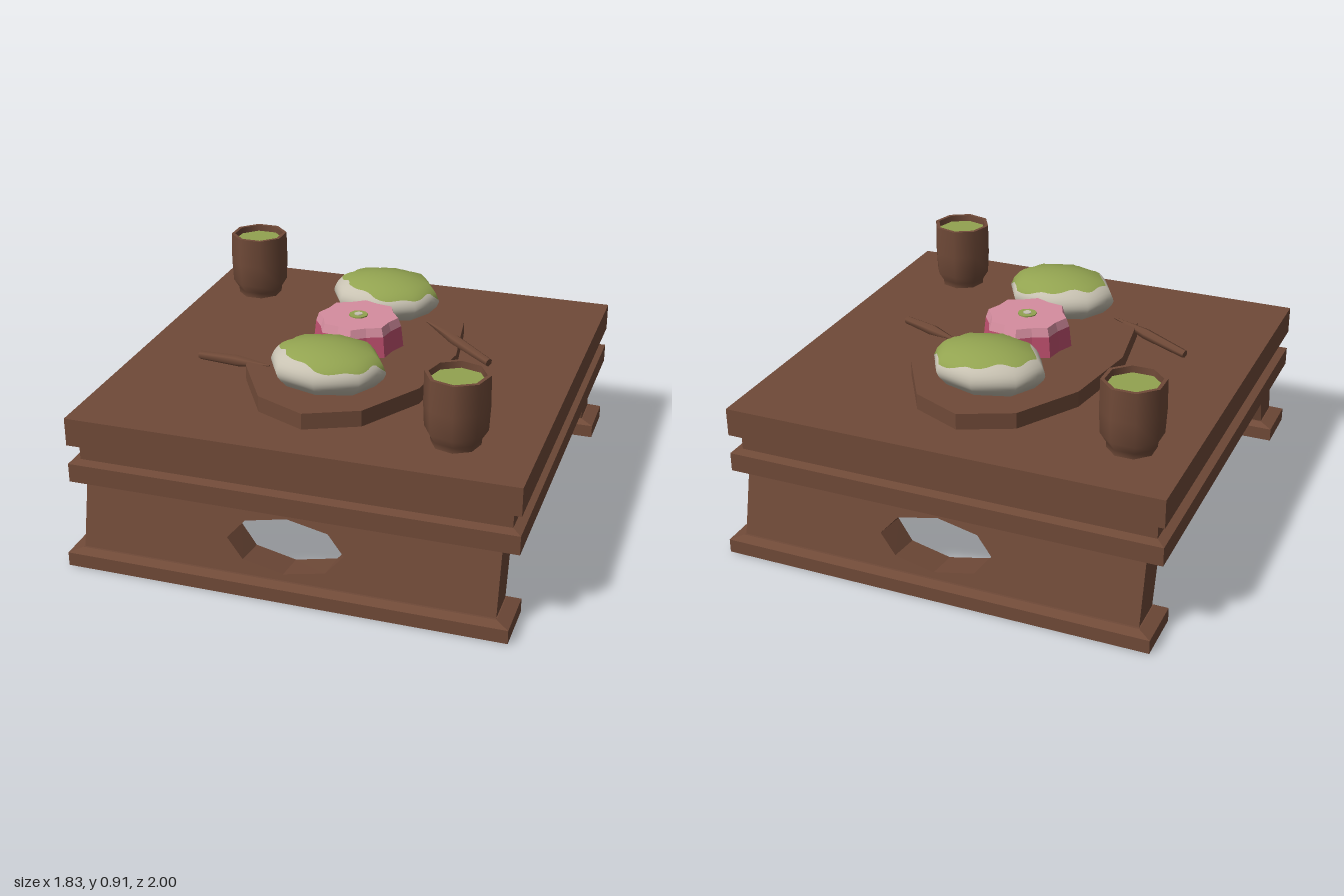
import * as THREE from 'three';

const paint = (name, color) => {
  const m = new THREE.MeshStandardMaterial({ color });
  m.name = name;
  return m;
};

export function createModel() {
  const wood = paint('brown wood', 0x704a38);
  const green = paint('matcha green', 0x92a350);
  const cream = paint('cream dough', 0xc8c2b2);
  const pink = paint('light pink', 0xd58d9f);
  const rose = paint('deep rose', 0xc0506f);
  const model = new THREE.Group();
  model.name = 'teaTable';

  const add = (name, geometry, material, parent = model) => {
    const mesh = new THREE.Mesh(geometry, material);
    mesh.name = name;
    parent.add(mesh);
    return mesh;
  };

  // Box between two heights, with its own half width and z range at each end
  const slab = (y0, y1, [w0, a0, b0], [w1, a1, b1]) => {
    const g = new THREE.BoxGeometry(2, 1, 2).toNonIndexed();
    const p = g.attributes.position;
    for (let i = 0; i < p.count; i++) {
      const top = p.getY(i) > 0, front = p.getZ(i) > 0;
      p.setXYZ(i, p.getX(i) * (top ? w1 : w0), top ? y1 : y0,
        top ? (front ? b1 : a1) : (front ? b0 : a0));
    }
    g.computeVertexNormals();
    return g;
  };
  const square = (w) => [w, -w, w];

  // Table top: two slabs with a recessed neck
  const W = square(0.917), N = square(0.88);
  add('tableTop', slab(0.5, 0.618, W, W), wood);
  add('topChamfer', slab(0.49, 0.5, N, W), wood);
  add('tableNeck', slab(0.42, 0.5, N, N), wood);
  add('apronChamfer', slab(0.417, 0.427, W, N), wood);
  add('tableApron', slab(0.338, 0.417, W, W), wood);

  // Splayed panel legs with an eight-sided opening, on chamfered feet
  const panel = new THREE.Shape();
  panel.moveTo(-0.848, 0.07).lineTo(0.848, 0.07).lineTo(0.848, 0.34).lineTo(-0.848, 0.34).closePath();
  const ring = [];
  for (let i = 0; i < 8; i++) {
    const a = -i * Math.PI / 4;
    ring.push(new THREE.Vector2(0.24 * Math.cos(a), 0.21 + 0.109 * Math.sin(a)));
  }
  panel.holes.push(new THREE.Path(ring));
  const legGeo = new THREE.ExtrudeGeometry(panel, { depth: 1, bevelEnabled: false });
  const lp = legGeo.attributes.position;
  for (let i = 0; i < lp.count; i++) {
    const outer = lp.getZ(i) > 0.5;
    let y = lp.getY(i);
    if (!outer && y > 0.08 && y < 0.33) y -= 0.02;
    const t = (y - 0.07) / 0.27;
    lp.setY(i, y);
    lp.setZ(i, outer ? 0.96 - 0.062 * t : 0.808 - 0.077 * t);
  }
  legGeo.computeVertexNormals();
  const foot = [0.904, 0.772, 1];
  ['front', 'back'].forEach((side, i) => {
    const leg = new THREE.Group();
    leg.name = side + 'Leg';
    leg.rotation.y = i * Math.PI;
    add('legPanel', legGeo, wood, leg);
    add('foot', slab(0, 0.058, foot, foot), wood, leg);
    add('footChamfer', slab(0.058, 0.076, foot, [0.852, 0.798, 0.968]), wood, leg);
    model.add(leg);
  });

  // Oval serving plate
  const plateGeo = new THREE.CylinderGeometry(1, 1, 0.068, 12).toNonIndexed();
  plateGeo.scale(0.428, 1, 0.722);
  plateGeo.computeVertexNormals();
  add('plate', plateGeo, wood).position.y = 0.652;

  // Buns: eight-sided dome, split along a wavy icing edge
  const profile = [[0.78, 0.68], [0.96, 0.725], [1, 0.75], [0.93, 0.79], [0.78, 0.83], [0.4, 0.846], [0, 0.853]];
  const icingEdge = (a) => {
    const d = Math.atan2(Math.sin(a), Math.cos(a));
    return 3.3 - 0.5 * Math.cos(a) + 0.22 * Math.sin(3 * a + 1) + 0.14 * Math.sin(8 * a)
      - 0.8 * Math.exp(-((d / 0.13) ** 2));
  };
  const bunPart = (from, to, rows = 10, segs = 72) => {
    const pos = [], nor = [], index = [];
    for (let j = 0; j <= rows; j++) {
      for (let i = 0; i <= segs; i++) {
        const a = i / segs * Math.PI * 2;
        const s = THREE.MathUtils.lerp(from(a), to(a), j / rows);
        const k = Math.min(5, Math.floor(s));
        const [r0, y0] = profile[k], [r1, y1] = profile[k + 1];
        const facet = Math.cos(Math.PI / 8) / Math.cos(a % (Math.PI / 4) - Math.PI / 8);
        const r = (r0 + (r1 - r0) * (s - k)) * facet;
        const y = y0 + (y1 - y0) * (s - k);
        const x = 0.245 * r * Math.cos(a), z = 0.183 * r * Math.sin(a);
        pos.push(x, y, z);
        const n = new THREE.Vector3(x / 0.06, (y - 0.75) / 0.0106, z / 0.0335).normalize();
        nor.push(n.x, n.y, n.z);
        if (j < rows && i < segs) {
          const b = j * (segs + 1) + i, u = b + segs + 1;
          index.push(b, u, b + 1, u, u + 1, b + 1);
        }
      }
    }
    const g = new THREE.BufferGeometry();
    g.setAttribute('position', new THREE.Float32BufferAttribute(pos, 3));
    g.setAttribute('normal', new THREE.Float32BufferAttribute(nor, 3));
    g.setIndex(index);
    return g;
  };
  const dough = bunPart(() => 0, icingEdge), icing = bunPart(icingEdge, () => 6);
  for (const z of [-0.4, 0.4]) {
    const bun = new THREE.Group();
    bun.name = z > 0 ? 'frontBun' : 'backBun';
    bun.position.z = z;
    add('dough', dough, cream, bun);
    add('icing', icing, green, bun);
    model.add(bun);
  }

  // Flower sweet: eight lobes, rose sides under a light pink cap
  const lobed = (rTop, rBottom, y0, y1) => {
    const g = new THREE.CylinderGeometry(rTop, rBottom, y1 - y0, 16).toNonIndexed();
    const p = g.attributes.position;
    for (let i = 0; i < p.count; i++) {
      const a = Math.atan2(p.getZ(i), p.getX(i));
      const f = 0.95 + 0.06 * Math.cos(8 * a);
      p.setXYZ(i, p.getX(i) * f, p.getY(i) + (y0 + y1) / 2, p.getZ(i) * f);
    }
    g.computeVertexNormals();
    return g;
  };
  const flower = new THREE.Group();
  flower.name = 'flowerSweet';
  flower.rotation.y = 0.12;
  add('flowerSides', lobed(0.181, 0.192, 0.68, 0.775), rose, flower);
  add('flowerCap', lobed(0.168, 0.181, 0.775, 0.812), pink, flower);
  add('flowerCentre', new THREE.CylinderGeometry(0.04, 0.04, 0.006, 10), green, flower).position.y = 0.814;
  add('flowerDot', new THREE.CylinderGeometry(0.018, 0.018, 0.006, 8), cream, flower).position.y = 0.817;
  model.add(flower);

  // Eight-sided cups of tea; doubled points keep the rim edges sharp
  const v = (list) => list.map(([x, y]) => new THREE.Vector2(x, y));
  const cupGeo = new THREE.LatheGeometry(v([[0, 0.618], [0.098, 0.618], [0.098, 0.618], [0.1, 0.642],
    [0.124, 0.68], [0.129, 0.78], [0.127, 0.907], [0.127, 0.907], [0.111, 0.907], [0.111, 0.907], [0.109, 0.86]]), 8);
  [['left', 0.595, 0.64, 0.12], ['right', -0.675, -0.59, Math.PI / 8]].forEach(([side, x, z, turn]) => {
    const cup = new THREE.Group();
    cup.name = side + 'Cup';
    cup.position.set(x, 0, z);
    cup.rotation.y = turn;
    add('cupBody', cupGeo, wood, cup);
    add('tea', new THREE.CylinderGeometry(0.11, 0.11, 0.008, 8), green, cup).position.y = 0.875;
    model.add(cup);
  });

  // Tapered picks resting on the plate rim
  const pick = (name, handle, tip) => {
    const a = new THREE.Vector3(...handle), dir = new THREE.Vector3(...tip).sub(a);
    const len = dir.length();
    const g = new THREE.LatheGeometry(v([[0, 0], [0.018, 0], [0.018, 0], [0.024, len * 0.55],
      [0.004, len], [0, len]]), 6);
    const mesh = add(name, g, wood);
    mesh.position.copy(a);
    mesh.quaternion.setFromUnitVectors(new THREE.Vector3(0, 1, 0), dir.normalize());
  };
  pick('rightPick', [-0.63, 0.638, 0.225], [-0.27, 0.692, 0.352]);
  pick('leftPick', [0.572, 0.677, 0.015], [0.245, 0.735, -0.2]);

  return model;
}
